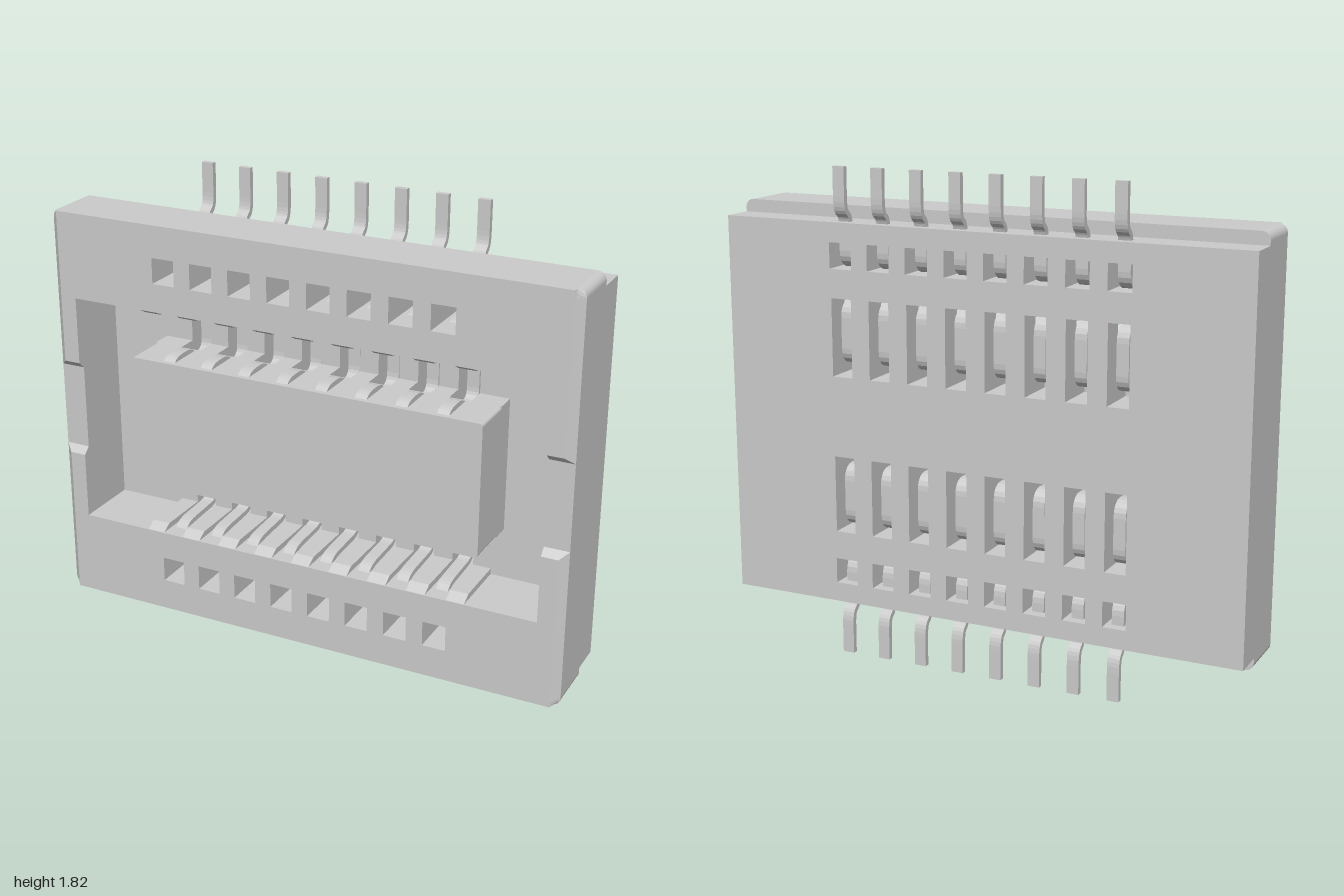
import * as THREE from 'three';

const MID = 0.912; // height of the horizontal symmetry plane
const PINS = Array.from({ length: 8 }, (_, i) => (i - 3.5) * 0.152);
const CAVITY = { x: 0.908, y: 0.437 };
const material = new THREE.MeshStandardMaterial({ color: 0xcccccc, side: THREE.DoubleSide });

function polygon(points, Type = THREE.Shape) {
  return new Type(points.map(([x, y]) => new THREE.Vector2(x, y)));
}

function rect(x0, x1, y0, y1, Type = THREE.Shape) {
  return polygon([[x0, y0], [x1, y0], [x1, y1], [x0, y1]], Type);
}

// Extrude an outline drawn in the front plane between two depths
function plate(shape, z0, z1) {
  return new THREE.ExtrudeGeometry(shape, { depth: z1 - z0, bevelEnabled: false, curveSegments: 5 })
    .translate(0, 0, z0);
}

// Extrude a (z, y) side profile across the width x0..x1
function sideProfile(points, x0, x1) {
  return new THREE.ExtrudeGeometry(polygon(points), { depth: x1 - x0, bevelEnabled: false })
    .rotateY(-Math.PI / 2).translate(x1, 0, 0);
}

// One opening per pin, on the upper and/or lower row
function pinHoles(shape, halfWidth, y0, y1, rows = [1, -1]) {
  for (const s of rows) for (const x of PINS) {
    shape.holes.push(rect(x - halfWidth, x + halfWidth, Math.min(s * y0, s * y1), Math.max(s * y0, s * y1), THREE.Path));
  }
  return shape;
}

function windows(shape, rows) {
  return pinHoles(shape, 0.044, 0.543, 0.638, rows);
}

function roundedOutline(w, h, r) {
  const s = new THREE.Shape();
  s.moveTo(-w, -h + r);
  s.absarc(-w + r, -h + r, r, Math.PI, 1.5 * Math.PI);
  s.absarc(w - r, -h + r, r, 1.5 * Math.PI, 2 * Math.PI);
  s.absarc(w - r, h - r, r, 0, 0.5 * Math.PI);
  s.absarc(-w + r, h - r, r, 0.5 * Math.PI, Math.PI);
  return s;
}

// Half of the front rim, chamfered at the sides and sloped at the side notch
function rimGeometry() {
  const h = 0.757, r = 0.03, c = CAVITY;
  const s = new THREE.Shape();
  s.moveTo(-1, 0.16);
  s.lineTo(-c.x, 0.16);
  s.lineTo(-c.x, c.y);
  s.lineTo(c.x, c.y);
  s.lineTo(c.x, 0.16);
  s.lineTo(1, 0.16);
  s.absarc(1 - r, h - r, r, 0, 0.5 * Math.PI);
  s.absarc(-1 + r, h - r, r, 0.5 * Math.PI, Math.PI);
  const g = plate(windows(s, [1]), 0.145, 0.172);
  const p = g.attributes.position;
  for (let i = 0; i < p.count; i++) {
    if (p.getZ(i) < 0.16) continue;
    p.setX(i, THREE.MathUtils.clamp(p.getX(i), -0.97, 0.97));
    if (p.getY(i) < 0.17) p.setY(i, 0.185);
  }
  g.computeVertexNormals();
  return g;
}

// Bent metal strip following a (z, y) centre line with softened corners
function contactGeometry() {
  const line = [[-0.163, 0.908], [-0.163, 0.75], [-0.125, 0.728], [-0.125, 0.555], [0.08, 0.535],
    [0.115, 0.47], [0.09, 0.422], [-0.125, 0.412], [-0.125, 0.2], [-0.02, 0.2], [0.03, 0.257],
    [0.125, 0.257], [0.148, 0.235]].map(([z, y]) => new THREE.Vector2(z, y));
  const path = [line[0]];
  for (let i = 1; i < line.length - 1; i++) {
    const [a, b, c] = [line[i - 1], line[i], line[i + 1]];
    const toward = (q) => b.clone().lerp(q, Math.min(0.45, 0.05 / b.distanceTo(q)));
    path.push(...new THREE.QuadraticBezierCurve(toward(a), b, toward(c)).getPoints(5));
  }
  path.push(line[line.length - 1]);
  const offset = (d) => path.map((p, i) => {
    const t = path[Math.min(i + 1, path.length - 1)].clone().sub(path[Math.max(i - 1, 0)]).normalize();
    return [p.x - t.y * d, p.y + t.x * d];
  });
  return sideProfile([...offset(0.01), ...offset(-0.01).reverse()], -0.0225, 0.0225);
}

export function createModel() {
  const model = new THREE.Group();
  model.name = 'boardConnector';
  const body = new THREE.Group();
  body.name = 'connector';
  body.position.y = MID;
  model.add(body);

  const add = (name, geometry, parent = body) => {
    const mesh = new THREE.Mesh(geometry, material);
    mesh.name = name;
    parent.add(mesh);
    return mesh;
  };
  const cavity = () => rect(-CAVITY.x, CAVITY.x, -CAVITY.y, CAVITY.y, THREE.Path);

  // Housing: slotted floor, stepped back wall, rounded main wall
  const floor = pinHoles(windows(rect(-1, 1, -0.71, 0.71)), 0.04, 0.15, CAVITY.y);
  add('housingFloor', plate(floor, -0.172, -0.08));
  const step = windows(rect(-1, 1, -0.71, 0.71));
  step.holes.push(cavity());
  add('housingStep', plate(step, -0.08, -0.05));
  const wall = windows(roundedOutline(1, 0.757, 0.03));
  wall.holes.push(cavity());
  add('housingWall', plate(wall, -0.05, 0.145));

  // Central tongue: pocketed base and solid upper part
  const base = [];
  for (const s of [-1, 1]) {
    base.push([s * 0.682, s * 0.248]);
    for (const pin of PINS) {
      const x = -s * pin; // walk each long edge in turn
      base.push([-x - s * -0.04, s * 0.248], [-x - s * -0.04, s * 0.15],
        [-x - s * 0.04, s * 0.15], [-x - s * 0.04, s * 0.248]);
    }
    const start = base.length - 32;
    const pockets = base.splice(start, 32);
    pockets.sort((a, b) => s * (b[0] - a[0]));
    for (let i = 0; i < 32; i += 4) {
      const right = pockets[i][0], left = pockets[i + 2][0];
      base.push([right, s * 0.248], [right, s * 0.15], [left, s * 0.15], [left, s * 0.248]);
    }
    base.push([-s * 0.682, s * 0.248]);
  }
  add('tongueBase', plate(polygon(base), -0.08, 0));
  add('tongue', plate(roundedOutline(0.682, 0.248, 0.012), 0, 0.168));

  // Each half is the same, turned half a revolution about the front axis
  const rim = rimGeometry();
  const contact = contactGeometry();
  const ribProfile = [[-0.08, 0.447], [-0.08, 0.415], [0.13, 0.415], [0.168, 0.437], [0.168, 0.447]];
  for (const side of ['upper', 'lower']) {
    const half = new THREE.Group();
    half.name = side + 'Half';
    if (side === 'lower') half.rotation.z = Math.PI;
    body.add(half);
    add('frontRim', rim, half);

    // Chamfered ribs between the contact slots
    for (let i = 0; i <= PINS.length; i++) {
      const x0 = i === 0 ? -0.64 : PINS[i - 1] + 0.04;
      const x1 = i === PINS.length ? 0.64 : PINS[i] - 0.04;
      add('wallRib', sideProfile(ribProfile, x0, x1), half);
    }
    for (const x of PINS) add('contact', contact, half).position.x = x;
  }
  return model;
}
